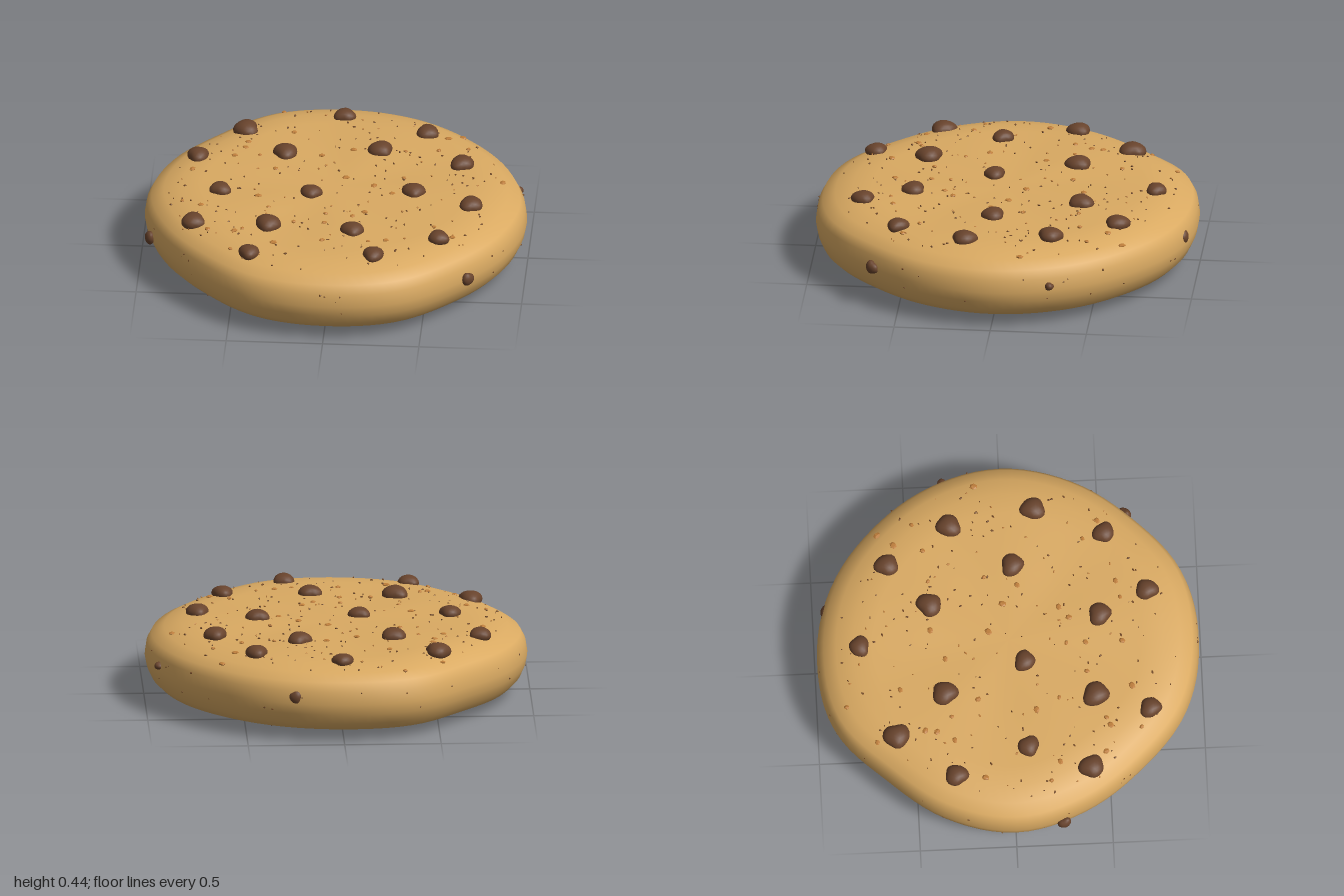
import * as THREE from 'three';
import { mergeVertices } from 'three/addons/utils/BufferGeometryUtils.js';

const dough = new THREE.MeshStandardMaterial({ name: 'golden dough', color: 0xdaaa62 });
const chocolate = new THREE.MeshStandardMaterial({ name: 'chocolate', color: 0x68432c });
const caramel = new THREE.MeshStandardMaterial({ name: 'caramel crumb', color: 0xbd7d3a });
const toasted = new THREE.MeshStandardMaterial({ name: 'toasted speck', color: 0x754a26 });

// Seeded random numbers
let seed = 17;
const rand = () => {
  seed = (seed * 16807) % 2147483647;
  return seed / 2147483647;
};
const between = (a, b) => a + (b - a) * rand();

// Uneven rim: radius every 22.5 degrees, from +x towards +z
const rim = [0.995, 0.98, 0.967, 1, 0.99, 0.98, 0.945, 0.96,
  0.987, 0.965, 0.942, 0.997, 0.99, 0.983, 0.968, 0.98];
function rimRadius(angle) {
  const n = rim.length;
  const t = ((angle / (Math.PI * 2)) % 1 + 1) % 1 * n;
  const i = Math.floor(t), f = t - i;
  const [a, b, c, d] = [-1, 0, 1, 2].map(k => rim[(i + k + n) % n]);
  return b + 0.5 * f * (c - a + f * (2 * a - 5 * b + 4 * c - d + f * (3 * (b - c) + d - a)));
}

// Cross-section of the dough, bottom centre to top centre
const profile = [[0, 0.035], [0.4, 0.033], [0.72, 0.03], [0.85, 0.04], [0.925, 0.06], [0.965, 0.1],
  [0.99, 0.155], [1, 0.21], [0.99, 0.275], [0.965, 0.322], [0.9, 0.356], [0.81, 0.38],
  [0.7, 0.388], [0.4, 0.388], [0, 0.385]];

// Height of the top (dir 1) or underside (dir -1) at a point
function surfaceY(x, z, dir) {
  const r = Math.hypot(x, z) / rimRadius(Math.atan2(z, x));
  const half = dir > 0 ? profile.slice(7).reverse() : profile.slice(0, 8);
  for (let i = 1; i < half.length; i++) {
    const [r0, y0] = half[i - 1], [r1, y1] = half[i];
    if (r <= r1) return y0 + (y1 - y0) * (r - r0) / (r1 - r0);
  }
  return 0.21;
}

function makeDough() {
  let geo = new THREE.LatheGeometry(profile.map(([r, y]) => new THREE.Vector2(r, y)), 96);
  const p = geo.attributes.position;
  for (let i = 0; i < p.count; i++) {
    const x = p.getX(i), z = p.getZ(i), a = Math.atan2(z, x), k = rimRadius(a);
    const wave = 0.004 * Math.sin(5 * a + 1) * Math.sin(Math.hypot(x, z) * Math.PI);
    p.setXYZ(i, x * k, p.getY(i) + wave, z * k);
  }
  geo.deleteAttribute('normal');
  geo.deleteAttribute('uv');
  geo = mergeVertices(geo, 1e-4);
  geo.computeVertexNormals();
  const mesh = new THREE.Mesh(geo, dough);
  mesh.name = 'doughBody';
  return mesh;
}

// Lumpy rounded chunk, flattened along y
function chunkGeometry(width, height) {
  let geo = new THREE.IcosahedronGeometry(1, 3);
  geo.deleteAttribute('normal');
  geo.deleteAttribute('uv');
  geo = mergeVertices(geo, 1e-4);
  const p = geo.attributes.position;
  const phase = between(0, 6.28), phase2 = between(0, 6.28);
  for (let i = 0; i < p.count; i++) {
    const x = p.getX(i), y = p.getY(i), z = p.getZ(i), a = Math.atan2(z, x);
    const k = 1 + Math.hypot(x, z) * (0.08 * Math.sin(3 * a + phase) + 0.06 * Math.sin(2 * a + phase2)
      + 0.03 * Math.sin(5 * a + phase2));
    p.setXYZ(i, x * k * width, y * height, z * k * width);
  }
  geo.computeVertexNormals();
  return geo;
}

const UP = new THREE.Vector3(0, 1, 0);
function makeChip(name, x, y, z, width, height, normal) {
  const mesh = new THREE.Mesh(chunkGeometry(width, height), chocolate);
  mesh.name = name;
  mesh.position.set(x, y, z);
  mesh.quaternion.setFromUnitVectors(UP, normal);
  return mesh;
}

// Many small crumbs as one mesh group
function addCrumb(group, geo, material, x, y, z, sx, sy, sz) {
  const mesh = new THREE.Mesh(geo, material);
  mesh.name = 'crumb';
  mesh.position.set(x, y, z);
  mesh.rotation.y = between(0, 6.28);
  mesh.scale.set(sx, sy, sz);
  group.add(mesh);
}
function namedGroup(name, parent) {
  const g = new THREE.Group();
  g.name = name;
  parent.add(g);
  return g;
}

export function createModel() {
  const model = new THREE.Group();
  model.name = 'cookie';
  model.add(makeDough());

  // Chips on top: x, z, radius
  const topChips = namedGroup('topChips', model);
  [[0, -0.77, 0.054], [-0.5, -0.6, 0.067], [0.44, -0.61, 0.06], [0.21, -0.4, 0.064],
    [-0.28, -0.34, 0.065], [-0.73, -0.3, 0.058], [0.64, -0.28, 0.062], [-0.59, 0.08, 0.055],
    [-0.12, 0.08, 0.055], [0.41, 0.04, 0.06], [0.715, 0.16, 0.062], [-0.71, 0.4, 0.063],
    [-0.32, 0.44, 0.067], [0.12, 0.48, 0.06], [0.57, 0.52, 0.055], [-0.4, 0.72, 0.055],
    [0.245, 0.73, 0.057]].forEach(([x, z, r]) =>
    topChips.add(makeChip('topChip', x, surfaceY(x, z, 1) + 0.005, z, r, r * 0.7, UP)));

  // Chips on the underside
  const bottomChips = namedGroup('bottomChips', model);
  [[0.58, 0.04, 0.04], [0.57, 0.51, 0.048], [0.22, 0.36, 0.05], [0.2, 0.28, 0.038],
    [-0.32, 0.3, 0.048], [-0.55, -0.02, 0.038], [-0.44, 0.63, 0.046]].forEach(([x, z, r]) =>
    bottomChips.add(makeChip('bottomChip', x, 0.033, z, r, 0.032, new THREE.Vector3(0, -1, 0))));

  // Chips in the side: x, y, z, radius
  const sideChips = namedGroup('sideChips', model);
  [[0.73, 0.215, 0.64, 0.036], [-0.945, 0.19, 0.25, 0.036], [0.25, 0.24, -0.935, 0.036],
    [0.932, 0.235, -0.3, 0.022]].forEach(([x, y, z, r]) =>
    sideChips.add(makeChip('sideChip', x, y, z, r, 0.026, new THREE.Vector3(x, 0, z).normalize())));

  // Larger caramel crumbs: x, z
  const crumbGeo = new THREE.IcosahedronGeometry(1, 0);
  const crumbs = namedGroup('caramelCrumbs', model);
  const spots = [[-0.32, -0.85], [-0.52, -0.7], [-0.25, -0.57], [-0.48, -0.45], [-0.49, -0.39],
    [-0.54, -0.3], [-0.41, -0.31], [-0.09, -0.33], [0.07, -0.4], [0.34, -0.4], [0.62, -0.65],
    [0.55, -0.57], [0.66, -0.47], [0.51, -0.42], [-0.75, -0.15], [-0.32, -0.17], [0.05, -0.1],
    [0.2, -0.02], [0.86, -0.14], [0.35, -0.11], [-0.78, 0.19], [-0.68, 0.24], [-0.33, 0.25],
    [-0.39, 0.13], [0.11, 0.32], [0.17, 0.27], [-0.03, 0.3], [-0.19, 0.4], [-0.03, 0.4],
    [-0.63, 0.48], [-0.49, 0.51], [-0.45, 0.49], [-0.03, 0.59], [0.21, 0.59], [0.3, 0.57],
    [-0.28, 0.63], [-0.5, 0.67], [0.54, 0.41], [0.64, 0.49], [0.3, 0.06]];
  spots.forEach(([x, z]) => {
    const s = between(0.013, 0.022);
    addCrumb(crumbs, crumbGeo, caramel, x, surfaceY(x, z, 1) + 0.002, z, s, 0.008, s * 0.85);
  });

  // Tiny scattered crumbs and specks on top
  const specks = namedGroup('toastedSpecks', model);
  for (let i = 0; i < 240; i++) {
    const a = between(0, 6.283), r = 0.88 * Math.sqrt(rand());
    const x = r * Math.cos(a), z = r * Math.sin(a), s = between(0.004, 0.01);
    const light = i % 4 === 0;
    addCrumb(light ? crumbs : specks, crumbGeo, light ? caramel : toasted,
      x, surfaceY(x, z, 1) + 0.002, z, s, 0.005, s * 0.6);
  }

  // Specks on the underside and around the side
  for (let i = 0; i < 50; i++) {
    const a = between(0, 6.283), r = 0.88 * Math.sqrt(rand());
    const x = r * Math.cos(a), z = r * Math.sin(a), s = between(0.004, 0.008);
    addCrumb(specks, crumbGeo, toasted, x, surfaceY(x, z, -1), z, s, 0.005, s * 0.7);
  }
  for (let i = 0; i < 60; i++) {
    const a = between(0, 6.283), r = rimRadius(a) * 0.99, s = between(0.004, 0.008);
    addCrumb(specks, crumbGeo, toasted, r * Math.cos(a), between(0.15, 0.28), r * Math.sin(a), s, s * 0.8, s);
  }
  return model;
}
